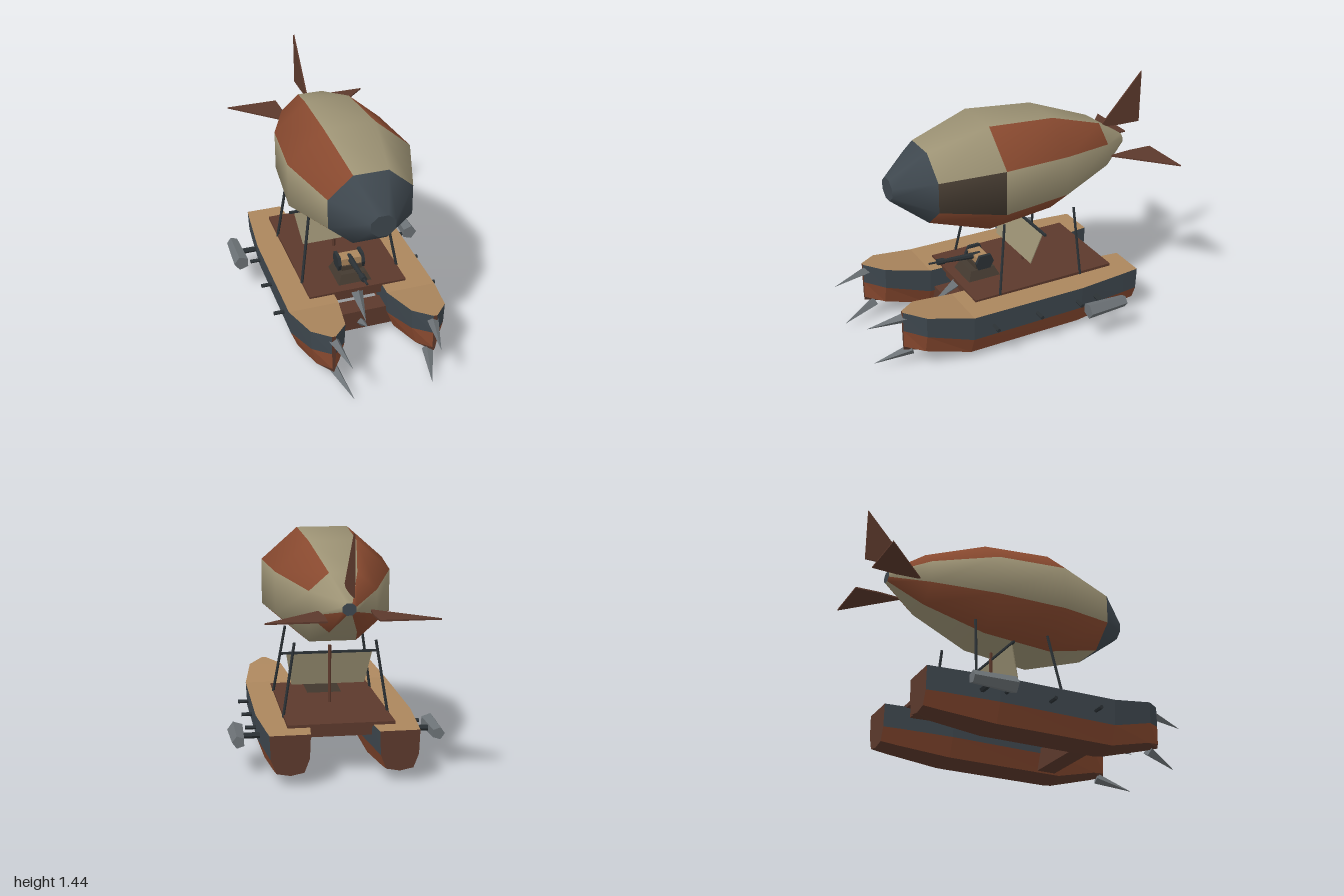
import * as THREE from 'three';

const mat = (name, color, side = THREE.FrontSide) => {
  const m = new THREE.MeshStandardMaterial({ color, side });
  m.name = name;
  return m;
};

export function createModel() {
  const model = new THREE.Group();
  model.name = 'airshipCatamaran';
  const cream = mat('cream canvas', 0x9c9274);
  const rust = mat('rust red', 0x88492f);
  const slate = mat('slate', 0x3e474e);
  const umber = mat('dark umber', 0x443a30);
  const brown = mat('red brown', 0x5c392c);
  const tan = mat('tan deck', 0xab865d);
  const iron = mat('black iron', 0x2b3135);
  const steel = mat('steel', 0x6c7276);

  const add = (name, geo, material, x = 0, y = 0, z = 0) => {
    const m = new THREE.Mesh(geo, material);
    m.name = name;
    m.position.set(x, y, z);
    model.add(m);
    return m;
  };
  const flat = (geo) => {
    const g = geo.index ? geo.toNonIndexed() : geo;
    g.computeVertexNormals();
    return g;
  };
  const box = (name, material, w, h, d, x, y, z) =>
    add(name, new THREE.BoxGeometry(w, h, d), material, x, y, z);
  // Tapered rod from a to b
  const rod = (name, material, a, b, ra, rb = ra, sides = 6) => {
    const A = new THREE.Vector3(...a), B = new THREE.Vector3(...b);
    const dir = B.clone().sub(A);
    const m = add(name, flat(new THREE.CylinderGeometry(rb, ra, dir.length(), sides)), material);
    m.position.copy(A).add(B).multiplyScalar(0.5);
    m.quaternion.setFromUnitVectors(new THREE.Vector3(0, 1, 0), dir.normalize());
    return m;
  };
  // Thin plate from a polygon, centred on its thickness
  const plate = (pts, t) => new THREE.ExtrudeGeometry(
    new THREE.Shape(pts.map((p) => new THREE.Vector2(...p))), { depth: t, bevelEnabled: false }
  ).translate(0, 0, -t / 2);

  // Gas bag: eight panels, patched band by band from tail to nose
  const k = 1 / Math.cos(Math.PI / 8);
  const profile = [[0.038, -0.86], [0.19, -0.65], [0.337, -0.28], [0.376, 0.15], [0.253, 0.52], [0.074, 0.73]];
  const bag = new THREE.LatheGeometry(
    profile.map(([r, z]) => new THREE.Vector2(r * k, z)), 8, -Math.PI / 8);
  bag.rotateX(Math.PI / 2).scale(1, 0.88, 1);
  const panels = ['CCCCS', 'RCRRS', 'CCCDS', 'CRRCS', 'CCCCS', 'RRRRS', 'CCCCS', 'RRRRS'];
  panels.forEach((bands, i) => [...bands].forEach((c, j) =>
    bag.addGroup(6 * (i * 5 + j), 6, 'CRDS'.indexOf(c))));
  add('gasBag', bag, [cream, rust, umber, slate], 0, 1.017, 0);
  for (const [name, r, z, turn] of [['noseCap', 0.074, 0.73, 0], ['tailCap', 0.038, -0.86, Math.PI]]) {
    const cap = new THREE.CircleGeometry(r * k, 8, Math.PI / 8).scale(1, 0.88, 1).rotateY(turn);
    add(name, cap, slate, 0, 1.017, z);
  }

  // Tail fins
  add('topFin', plate([[0.71, 1.12], [0.85, 1.108], [1, 1.105], [1, 1.44]], 0.009).rotateY(Math.PI / 2), brown);
  for (const s of [1, -1]) {
    const pts = [[0.145, -0.7], [0.132, -0.85], [0.138, -1], [0.468, -1]].map(([x, z]) => [s * x, z]);
    add('sideFin', plate(pts, 0.009).rotateX(Math.PI / 2), brown, 0, 0.98, 0);
  }

  // Hull stations: z, half width, deck, stripe, chine, keel
  const stations = [
    [0.8, 0.012, 0.38, 0.255, 0.145, 0.12],
    [0.69, 0.105, 0.36, 0.23, 0.115, 0.085],
    [0.41, 0.155, 0.305, 0.15, 0.04, 0.006],
    [-0.33, 0.155, 0.3, 0.155, 0.04, 0],
    [-0.65, 0.126, 0.3, 0.16, 0.068, 0.035],
    [-0.755, 0.115, 0.3, 0.16, 0.08, 0.065],
  ];
  function hullGeometry() {
    const pos = [], index = [];
    const geo = new THREE.BufferGeometry();
    for (const [z, w, top, stripe, chine, keel] of stations) {
      const half = [[w, top], [0.95 * w, stripe], [0.68 * w, chine]];
      const ring = [...half, [0, keel], ...half.map(([x, y]) => [-x, y]).reverse()];
      ring.forEach(([x, y]) => pos.push(x, y, z));
    }
    // Materials: 0 slate, 1 rust, 2 brown, 3 tan
    [0, 1, 2, 2, 1, 0, 3].forEach((m, c) => {
      const start = index.length;
      for (let i = 0; i < stations.length - 1; i++) {
        const a = i * 7 + c, d = i * 7 + (c + 1) % 7;
        index.push(a, d, d + 7, a, d + 7, a + 7);
      }
      geo.addGroup(start, index.length - start, m);
    });
    const start = index.length, last = (stations.length - 1) * 7;
    for (let c = 1; c < 6; c++) index.push(last, last + c, last + c + 1, 0, c + 1, c);
    geo.addGroup(start, index.length - start, 2);
    geo.setAttribute('position', new THREE.Float32BufferAttribute(pos, 3));
    geo.setIndex(index);
    const groups = geo.groups;
    const out = flat(geo);
    out.groups = groups;
    return out;
  }
  const hull = hullGeometry();

  for (const s of [1, -1]) {
    add('hull', hull, [slate, rust, brown, tan], s * 0.31, 0, 0);
    // Ram spikes on the bow
    rod('upperSpike', steel, [s * 0.305, 0.335, 0.77], [s * 0.265, 0.297, 1], 0.034, 0.001, 4);
    rod('lowerSpike', steel, [s * 0.295, 0.1, 0.74], [s * 0.24, 0.03, 0.96], 0.034, 0.001, 4);
    // Struts up to the gas bag
    rod('frontStrut', iron, [s * 0.31, 0.31, 0.16], [s * 0.24, 0.74, 0.094], 0.009);
    rod('rearStrut', iron, [s * 0.31, 0.3, -0.405], [s * 0.24, 0.74, -0.385], 0.009);
    // Side pegs
    for (const z of [0.28, -0.015, -0.295])
      rod('sidePeg', iron, [s * 0.43, 0.215, z], [s * 0.525, 0.215, z], 0.012);
    // Five-sided engine pods on axles
    rod('podAxle', iron, [s * 0.43, 0.21, -0.435], [s * 0.56, 0.21, -0.435], 0.018);
    const pod = new THREE.CylinderGeometry(0.05, 0.038, 0.26, 5).rotateX(Math.PI / 2)
      .rotateZ(s * Math.PI / 2);
    add('enginePod', flat(pod), steel, s * 0.581, 0.21, -0.43);
  }

  // Platform and cross beams
  box('platform', brown, 0.62, 0.024, 0.95, 0, 0.305, -0.15);
  box('platformFrame', brown, 0.36, 0.065, 0.9, 0, 0.267, -0.15);
  box('lowerBeam', brown, 0.5, 0.13, 0.12, 0, 0.115, 0.32);
  rod('centreUpperSpike', steel, [0, 0.275, 0.3], [0, 0.17, 0.47], 0.038, 0.001, 4);
  rod('centreLowerSpike', steel, [0, 0.09, 0.36], [0, 0.15, 0.5], 0.032, 0.001, 4);

  // Mast, yard and sail
  rod('mast', brown, [0, 0.31, -0.165], [0, 0.67, -0.165], 0.011);
  box('yard', iron, 0.585, 0.014, 0.014, 0, 0.626, -0.16);
  const sail = add('sail', plate([[-0.262, 0], [-0.225, -0.215], [0.225, -0.215], [0.262, 0]], 0.006),
    cream, 0, 0.622, -0.157);
  sail.rotation.x = -0.28;

  // Deck gun
  const q = Math.SQRT2;
  add('gunBase', flat(new THREE.CylinderGeometry(0.08 * q, 0.108 * q, 0.06, 4).rotateY(Math.PI / 4)),
    umber, 0, 0.343, 0.16);
  box('gunPlinth', umber, 0.13, 0.03, 0.1, 0, 0.388, 0.15);
  box('gunBlock', tan, 0.13, 0.045, 0.08, 0, 0.425, 0.15);
  const cheek = plate([[-0.045, 0.372], [0.035, 0.372], [0.06, 0.415], [0.04, 0.463], [-0.035, 0.463], [-0.06, 0.415]], 0.02)
    .rotateY(Math.PI / 2);
  for (const s of [1, -1]) add('gunCheek', cheek, iron, s * 0.076, 0, 0.145);
  rod('gunBarrel', iron, [0, 0.43, 0.14], [0, 0.449, 0.41], 0.022, 0.012, 8);
  rod('gunCollar', iron, [0, 0.449, 0.385], [0, 0.451, 0.43], 0.02, 0.02, 8);
  rod('gunMuzzle', iron, [0, 0.451, 0.43], [0, 0.454, 0.485], 0.007);

  return model;
}
